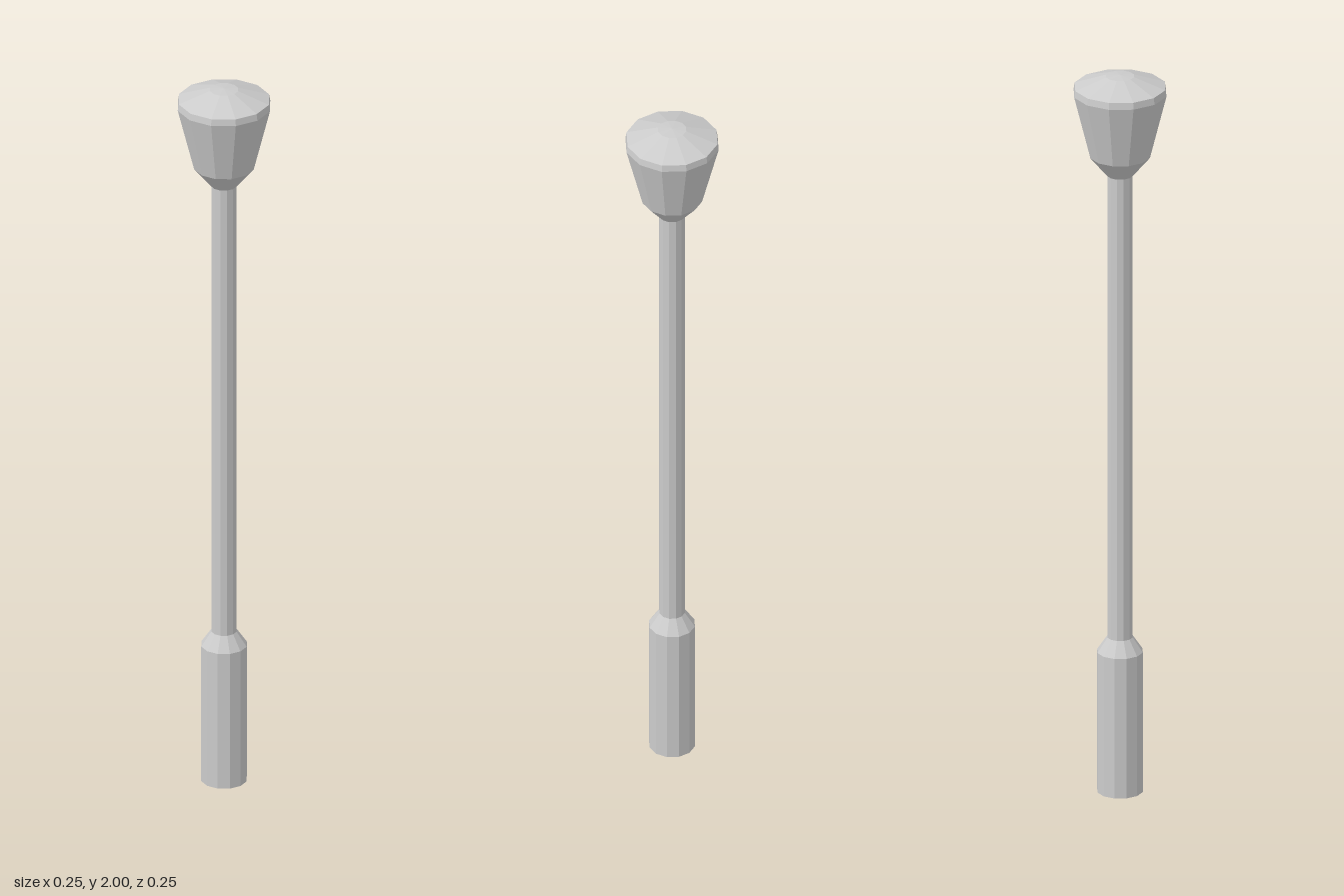
import * as THREE from 'three';

const SIDES = 12;
const material = new THREE.MeshStandardMaterial({ color: 0xcccccc, flatShading: true });

// Faceted turned part from [radius, height] points, listed bottom to top
function turned(name, profile) {
  const points = profile.map(([r, y]) => new THREE.Vector2(r, y));
  const mesh = new THREE.Mesh(new THREE.LatheGeometry(points, SIDES), material);
  mesh.name = name;
  return mesh;
}

export function createModel() {
  const group = new THREE.Group();
  group.name = 'knobbedRod';

  // Thick grip with a chamfered shoulder
  group.add(turned('grip', [[0, 0], [0.061, 0], [0.061, 0.39], [0.034, 0.43]]));

  // Slim shaft
  group.add(turned('shaft', [[0.034, 0.43], [0.034, 1.72]]));

  // Flared head with a bevelled rim and shallow domed top
  group.add(turned('head', [
    [0.034, 1.72], [0.08, 1.775], [0.124, 1.95],
    [0.121, 1.968], [0.038, 1.997], [0, 2],
  ]));

  return group;
}
